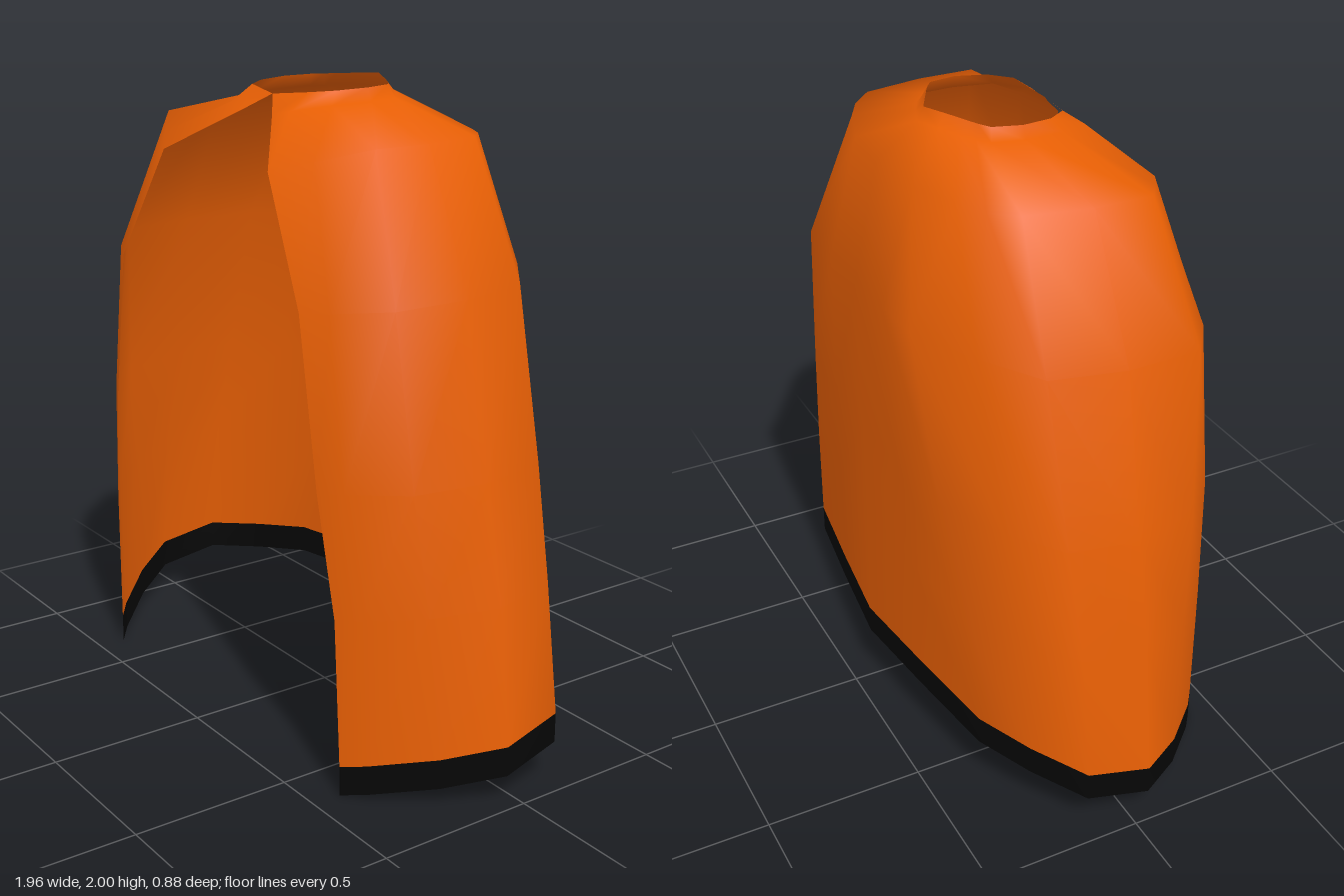
import * as THREE from 'three';

// Half cross-sections from the front opening round to the centre back: [x, y, z]
const neck = [[0, 1.96, .19], [.15, 1.975, .165], [.2, 1.98, .1], [.22, 1.985, 0], [.2, 1.988, -.09],
  [.165, 1.99, -.115], [.13, 1.993, -.135], [.065, 1.997, -.17], [0, 2, -.205]];
const collar = [[.08, 1.91, .245], [.16, 1.925, .235], [.22, 1.94, .13], [.235, 1.945, 0], [.22, 1.95, -.1],
  [.185, 1.95, -.13], [.145, 1.955, -.16], [.075, 1.96, -.195], [0, 1.96, -.225]];
const shoulder = [[.29, 1.78, .4], [.41, 1.815, .325], [.56, 1.86, .225], [.56, 1.86, .04], [.52, 1.862, -.16],
  [.45, 1.86, -.23], [.36, 1.86, -.28], [.2, 1.86, -.335], [0, 1.86, -.36]];
const chest = [[.5, 1.42, .44], [.59, 1.43, .4], [.74, 1.45, .29], [.755, 1.455, .05], [.71, 1.46, -.18],
  [.55, 1.48, -.31], [.37, 1.5, -.43], [.19, 1.5, -.435], [0, 1.5, -.435]];
const waist = [[.58, .92, .437], [.66, .93, .4], [.8, .94, .265], [.857, .95, .05], [.83, .96, -.165],
  [.67, .97, -.29], [.48, .98, -.4], [.24, .99, -.425], [0, 1, -.437]];
const skirt = [[.64, .55, .418], [.71, .56, .37], [.84, .58, .235], [.93, .6, .05], [.905, .62, -.15],
  [.75, .63, -.27], [.56, .64, -.375], [.28, .65, -.41], [0, .65, -.44]];
const hem = [[.655, 0, .41], [.72, .015, .36], [.87, .055, .21], [.98, .095, .05], [.96, .135, -.15],
  [.8, .155, -.26], [.63, .175, -.35], [.315, .183, -.397], [0, .19, -.438]];
const trimTop = hem.map(([x, y, z]) => [x, y + .092, z]);

// Mirrors each half section and joins neighbouring sections into one open sheet
function sheet(sections) {
  const rows = sections.map(s => [...s, ...s.slice(0, -1).reverse().map(([x, y, z]) => [-x, y, z])]);
  const n = rows[0].length, index = [];
  for (let r = 0; r < rows.length - 1; r++) {
    for (let c = 0; c < n - 1; c++) {
      const a = r * n + c, b = a + n;
      // mirrored diagonals keep both halves alike
      if (c < (n - 1) / 2) index.push(a, b, a + 1, a + 1, b, b + 1);
      else index.push(a, b, b + 1, a, b + 1, a + 1);
    }
  }
  const g = new THREE.BufferGeometry();
  g.setAttribute('position', new THREE.Float32BufferAttribute(rows.flat(2), 3));
  g.setIndex(index);
  g.computeVertexNormals();
  return g;
}

export function createModel() {
  const orange = new THREE.MeshStandardMaterial({ color: 0xe85f04, side: THREE.DoubleSide });
  orange.name = 'orange cloth';
  const black = new THREE.MeshStandardMaterial({ color: 0x060606, side: THREE.DoubleSide });
  black.name = 'black trim';

  const cape = new THREE.Group();
  cape.name = 'cape';
  const cloth = new THREE.Mesh(sheet([neck, collar, shoulder, chest, waist, skirt, trimTop]), orange);
  cloth.name = 'capeCloth';
  const trim = new THREE.Mesh(sheet([trimTop, hem]), black);
  trim.name = 'hemTrim';
  cape.add(cloth, trim);
  return cape;
}
